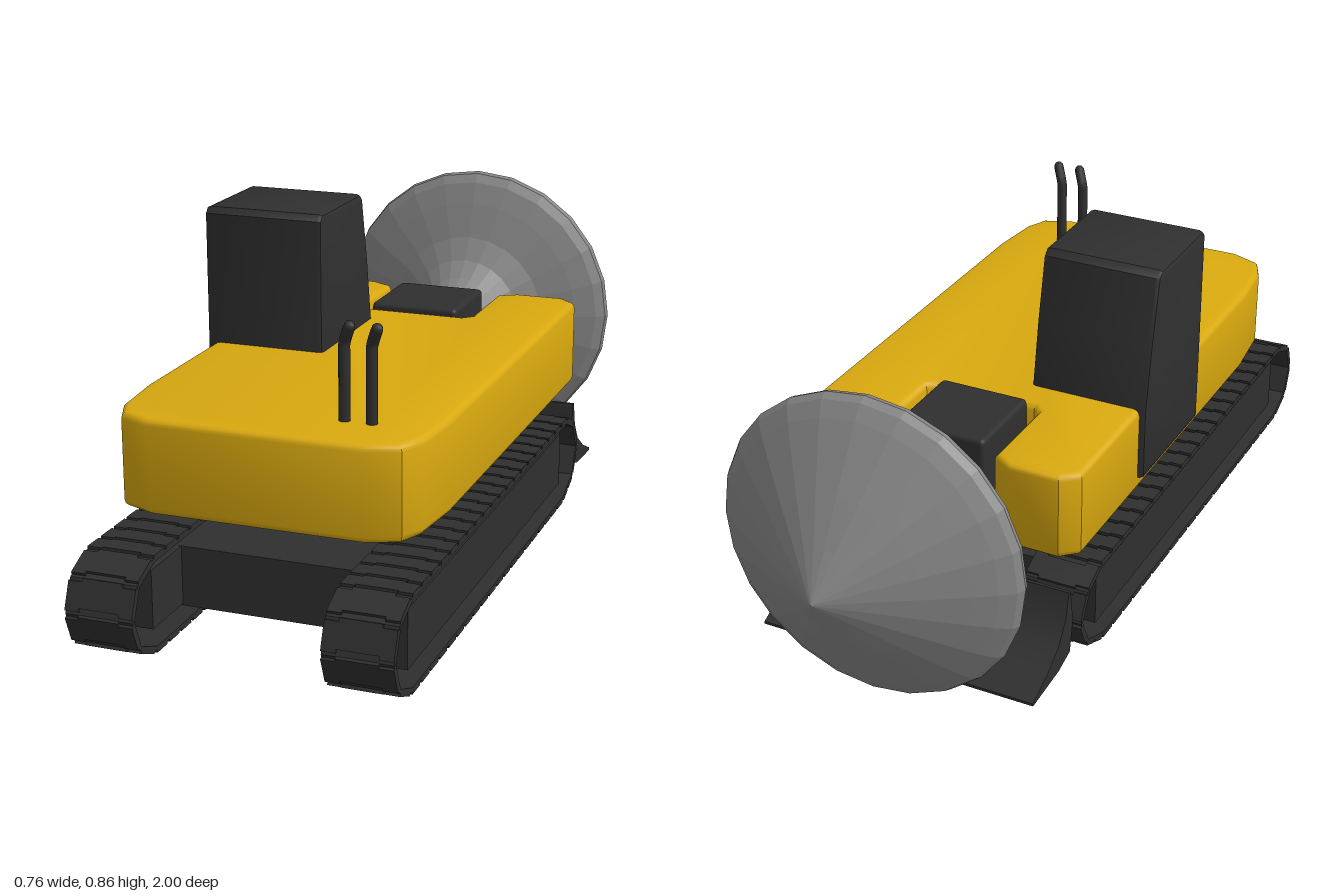
import * as THREE from 'three';
import { RoundedBoxGeometry } from 'three/addons/geometries/RoundedBoxGeometry.js';
import { toCreasedNormals } from 'three/addons/utils/BufferGeometryUtils.js';

const material = (color, extra = {}) => new THREE.MeshStandardMaterial({ color, ...extra });
const yellow = material(0xd9a90f);
const dark = material(0x2f2f2f);
const steel = material(0x868686, { flatShading: true, side: THREE.DoubleSide });

const shapeOf = (points) => new THREE.Shape(points.map(([x, y]) => new THREE.Vector2(x, y)));

function add(parent, name, geometry, mat, x = 0, y = 0, z = 0) {
  const mesh = new THREE.Mesh(geometry, mat);
  mesh.name = name;
  mesh.position.set(x, y, z);
  parent.add(mesh);
  return mesh;
}

// Extrudes a side profile, given as [z, y], across x, centred on x = 0
function sideExtrude(shape, width, bevel = 0) {
  const depth = width - 2 * bevel;
  const g = new THREE.ExtrudeGeometry(shape, {
    depth, bevelEnabled: bevel > 0, bevelThickness: bevel, bevelSize: bevel,
    bevelOffset: -bevel, bevelSegments: 2, curveSegments: 6,
  });
  g.translate(0, 0, -depth / 2);
  g.rotateY(-Math.PI / 2);
  return toCreasedNormals(g, 0.6);
}

// Hollow belt with overlapping shoes and the frame inside it
function createTrack(name, x) {
  const track = new THREE.Group();
  track.name = name;
  track.position.x = x;
  const width = 0.162;
  const outline = [
    [-0.32, 0.012], [0.89, 0.012], [0.965, 0.045], [0.994, 0.12], [0.965, 0.195], [0.89, 0.228],
    [-0.34, 0.228], [-0.41, 0.195], [-0.445, 0.125], [-0.41, 0.05],
  ];
  const belt = shapeOf(outline);
  const cz = 0.275, cy = 0.12;
  belt.holes.push(new THREE.Path(outline.map(([z, y]) =>
    new THREE.Vector2(cz + (z - cz) * 0.988, cy + (y - cy) * 0.92)).reverse()));
  add(track, 'trackBelt', sideExtrude(belt, width), dark);

  outline.forEach(([z0, y0], i) => {
    const [z1, y1] = outline[(i + 1) % outline.length];
    const length = Math.hypot(z1 - z0, y1 - y0);
    const count = Math.max(1, Math.round(length / 0.062));
    const step = length / count;
    const angle = -Math.atan2(y1 - y0, z1 - z0);
    for (let k = 0; k < count; k++) {
      const t = (k + 0.5) / count;
      const shoe = new THREE.Group();
      shoe.name = 'trackShoe';
      shoe.position.set(0, y0 + (y1 - y0) * t, z0 + (z1 - z0) * t);
      shoe.rotation.x = angle;
      for (const s of [-1, 1]) {
        add(shoe, 'shoeEnd', new THREE.BoxGeometry(0.033, 0.008, step * 0.82), dark, s * 0.0645, -0.003, 0);
      }
      add(shoe, 'shoeMiddle', new THREE.BoxGeometry(0.096, 0.008, step * 0.82), dark, 0, -0.003, step * 0.1);
      track.add(shoe);
    }
  });

  add(track, 'trackFrame', new THREE.BoxGeometry(0.13, 0.14, 1.2), dark, 0, 0.122, 0.27);
  return track;
}

// Upright pipe with an angled tip
function createExhaust(x) {
  const path = new THREE.CurvePath();
  const pts = [[0, 0.5, 0.69], [0, 0.695, 0.69], [0.004, 0.71, 0.692], [0.017, 0.74, 0.703]]
    .map((p) => new THREE.Vector3(...p));
  for (let i = 0; i < 3; i++) path.add(new THREE.LineCurve3(pts[i], pts[i + 1]));
  const pipe = new THREE.Group();
  pipe.name = 'exhaustPipe';
  pipe.position.x = x;
  add(pipe, 'pipe', new THREE.TubeGeometry(path, 24, 0.013, 10), dark);
  add(pipe, 'pipeTip', new THREE.SphereGeometry(0.013, 10, 6), dark, 0.017, 0.74, 0.703);
  return pipe;
}

export function createModel() {
  const model = new THREE.Group();
  model.name = 'trackedDrillVehicle';

  // Undercarriage
  model.add(createTrack('leftTrack', 0.298), createTrack('rightTrack', -0.296));
  add(model, 'chassis', new THREE.BoxGeometry(0.48, 0.145, 1.05), dark, 0, 0.12, 0.195);
  add(model, 'bladeMount', new THREE.BoxGeometry(0.32, 0.13, 0.16), dark, 0, 0.125, -0.4);
  add(model, 'turntable', new THREE.CylinderGeometry(0.145, 0.145, 0.125, 32), dark, 0, 0.248, 0.27);

  // Curved rear blade
  const blade = shapeOf([
    [-0.47, 0.23], [-0.455, 0.14], [-0.47, 0.06], [-0.53, 0.043], [-0.665, 0.035],
    [-0.665, 0.042], [-0.59, 0.075], [-0.53, 0.115], [-0.495, 0.165], [-0.478, 0.23],
  ]);
  add(model, 'rearBlade', sideExtrude(blade, 0.72), dark);

  // Hull with a notch at the back, drawn as [x, -z]
  const half = [
    [0.25, -0.832], [0.325, -0.802], [0.352, -0.74], [0.366, -0.6], [0.366, 0.43], [0.325, 0.467],
    [0.2, 0.467], [0.15, 0.438], [0.15, 0.215], [0.13, 0.195],
  ];
  const outline = [...half, ...half.map(([x, y]) => [-x, y]).reverse()];
  const hull = new THREE.ExtrudeGeometry(shapeOf(outline), {
    depth: 0.188, bevelThickness: 0.016, bevelSize: 0.016, bevelOffset: -0.016, bevelSegments: 3,
  });
  hull.rotateX(-Math.PI / 2);
  add(model, 'hull', toCreasedNormals(hull, 0.6), yellow, 0, 0.321, 0);

  // Cab with sloping rear face
  const cab = shapeOf([
    [0.235, 0.34], [0.235, 0.845], [0.222, 0.86], [-0.03, 0.86], [-0.047, 0.845],
    [-0.08, 0.69], [-0.108, 0.52], [-0.108, 0.34],
  ]);
  add(model, 'cab', sideExtrude(cab, 0.303, 0.012), dark, -0.232, 0, 0);

  model.add(createExhaust(0.154), createExhaust(0.217));

  // Drill head on its mount
  add(model, 'drillMount', new RoundedBoxGeometry(0.23, 0.255, 0.23, 2, 0.012), dark, 0, 0.412, -0.31);
  const profile = [
    [0, 0.4], [0.066, 0.4], [0.07, 0.47], [0.085, 0.53], [0.112, 0.58], [0.152, 0.625], [0.21, 0.66],
    [0.3, 0.69], [0.355, 0.712], [0.377, 0.73], [0.381, 0.745], [0.372, 0.765], [0.34, 0.79],
    [0.29, 0.822], [0.2, 0.878], [0.1, 0.938], [0, 1],
  ].map(([r, z]) => new THREE.Vector2(r, z));
  const drill = new THREE.LatheGeometry(profile, 24);
  drill.rotateX(-Math.PI / 2);
  add(model, 'drillHead', drill, steel, 0, 0.41, 0);

  return model;
}
